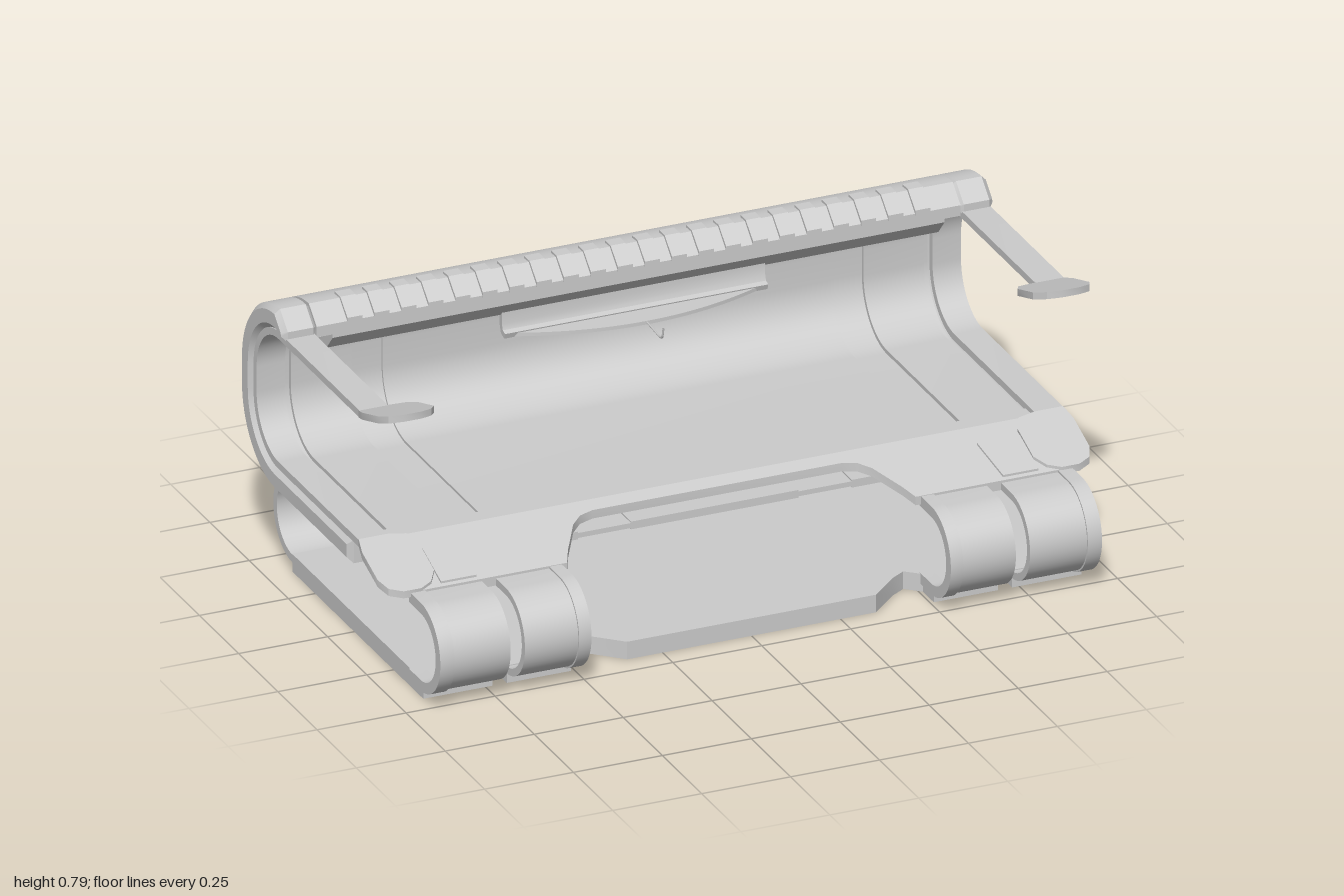
import * as THREE from 'three';
import { toCreasedNormals } from 'three/addons/utils/BufferGeometryUtils.js';

const material = new THREE.MeshStandardMaterial({ color: 0xcccccc, side: THREE.DoubleSide });
const V = (x, y) => new THREE.Vector2(x, y);

// Points along an arc, angles in degrees, in the (z, y) plane
function arc(cz, cy, r, a0, a1, n = 16) {
  return Array.from({ length: n + 1 }, (_, i) => {
    const a = THREE.MathUtils.degToRad(a0 + (a1 - a0) * i / n);
    return [cz + r * Math.cos(a), cy + r * Math.sin(a)];
  });
}

// Closed outline of constant thickness around an open centreline
function stroke(path, t) {
  const p = path.map(([a, b]) => V(a, b)), left = [], right = [];
  p.forEach((q, i) => {
    const d0 = q.clone().sub(p[Math.max(i - 1, 0)]).normalize();
    const d1 = p[Math.min(i + 1, p.length - 1)].clone().sub(q).normalize();
    const d = d0.clone().add(d1).normalize();
    const ref = i ? d0 : d1;
    const k = t / 2 / Math.max(d.dot(ref), 0.3);
    left.push([q.x - d.y * k, q.y + d.x * k]);
    right.unshift([q.x + d.y * k, q.y - d.x * k]);
  });
  return [...left, ...right];
}

// (z, y) outline swept along x from x0 to x1
function sweep(outline, x0, x1, bevel = 0) {
  const shape = new THREE.Shape(outline.map(([a, b]) => V(a, b)));
  const g = new THREE.ExtrudeGeometry(shape, {
    depth: x1 - x0 - 2 * bevel, bevelEnabled: bevel > 0, bevelThickness: bevel,
    bevelSize: bevel, bevelOffset: -bevel, bevelSegments: 1,
  });
  g.rotateY(-Math.PI / 2).translate(x1 - bevel, 0, 0);
  return toCreasedNormals(g, 0.5);
}

// (x, z) outline raised by h from y0, tilted along z from z0 on
function slab(outline, y0, h, slope = 0, z0 = 0) {
  const shape = new THREE.Shape(outline.map(([x, z]) => V(x, -z)));
  const g = new THREE.ExtrudeGeometry(shape, { depth: h, bevelEnabled: false });
  g.rotateX(-Math.PI / 2).translate(0, y0, 0);
  const p = g.attributes.position;
  for (let i = 0; i < p.count; i++) p.setY(i, p.getY(i) + slope * (p.getZ(i) - z0));
  return toCreasedNormals(g, 0.5);
}

// C-shaped path of the holder: lower run, back, upper run
const cPath = (r, zLow, zHigh) => [
  [zLow, 0.49 - r], ...arc(-0.335, 0.49, r, 270, 180), ...arc(-0.335, 0.56, r, 180, 90), [zHigh, 0.56 + r],
];

export function createModel() {
  const model = new THREE.Group();
  const add = (name, geometry) => {
    const m = new THREE.Mesh(geometry, material);
    m.name = name;
    model.add(m);
    return m;
  };
  const mirrored = outline => [...outline, ...outline.map(([x, z]) => [-x, z]).reverse()];

  // Curved shell with lip
  const outer = [[0.135, 0.265], ...arc(-0.335, 0.49, 0.225, 270, 180), ...arc(-0.335, 0.56, 0.225, 180, 90),
    [-0.285, 0.74], [-0.285, 0.71]];
  const inner = [...arc(-0.335, 0.56, 0.16, 90, 180), ...arc(-0.335, 0.49, 0.16, 180, 270), [0.135, 0.33]];
  add('shell', sweep([...outer, ...inner], -0.905, 0.905));
  add('centrePanel', sweep(stroke([[0.14, 0.333], ...arc(-0.335, 0.49, 0.157, 270, 180),
    ...arc(-0.335, 0.56, 0.157, 180, 150, 6)], 0.008), -0.63, 0.63));

  // Sloping front plate with a notch in the middle
  add('frontSill', sweep([[0.13, 0.31], [0.13, 0.342], [0.18, 0.342], [0.18, 0.31]], -0.905, 0.905));
  add('frontPlate', slab(mirrored([[0.905, 0.178], [0.905, 0.37], [0.49, 0.37], [0.47, 0.33], [0.42, 0.25],
    [0.39, 0.225], [0.35, 0.215]]).filter((_, i, a) => i < a.length), 0.318, 0.024, -0.36, 0.18));

  for (const s of [1, -1]) {
    const span = (a, b) => (s > 0 ? [a, b] : [-b, -a]);
    const flip = pts => pts.map(([x, z]) => [s * x, z]);

    // End caps, straps and inner pads
    add('endCap', sweep([...outer, ...inner], ...span(0.9, 1), 0.014));
    add('strap', sweep(stroke(cPath(0.15, 0.18, 0.18), 0.02), ...span(0.91, 0.99)));
    add('sidePad', sweep(stroke([[0.14, 0.335], ...arc(-0.335, 0.49, 0.155, 270, 180),
      ...arc(-0.335, 0.56, 0.155, 180, 160, 4)], 0.012), ...span(0.72, 0.89)));

    // Paddles at both strap ends
    const paddle = flip([[0.91, 0.175], [0.86, 0.185], [0.842, 0.22], [0.842, 0.32], [0.865, 0.355], [0.9, 0.372],
      [0.95, 0.372], [0.985, 0.355], [1, 0.32], [1, 0.22], [0.99, 0.175]]);
    add('upperPaddle', slab(paddle, 0.7, 0.02, 0.33, 0.18));
    add('lowerPaddle', slab(paddle, 0.33, 0.02, -0.36, 0.18));
    // Small raised tab on the front plate
    add('frontTab', slab(flip([[0.72, 0.24], [0.84, 0.24], [0.84, 0.36], [0.74, 0.36]]), 0.338, 0.01, -0.36, 0.18));

    // Front support loops with hemmed edges
    const front = [[0.36, 0.257], ...arc(0.435, 0.147, 0.11, 90, -90, 24), [0.36, 0.037]];
    add('loopTop', sweep([[0.19, 0.247], [0.19, 0.267], [0.37, 0.267], [0.37, 0.247]], ...span(0.51, 0.925)));
    for (const [a, b] of [[0.51, 0.69], [0.73, 0.925]]) add('frontLoop', sweep(stroke(front, 0.02), ...span(a, b)));
    for (const [a, b] of [[0.505, 0.54], [0.89, 0.93]]) add('loopHem', sweep(stroke(front, 0.03), ...span(a, b)));
  }

  // Rear support loop, with two slimmer bands
  const rear = [[0.2, 0.257], ...arc(-0.395, 0.147, 0.11, 90, 270, 24), [0.2, 0.037]];
  const xs = [-0.925, -0.385, -0.235, 0.235, 0.385, 0.925];
  for (let i = 0; i < 5; i++) add('rearLoop', sweep(stroke(rear, i % 2 ? 0.014 : 0.022), xs[i], xs[i + 1]));

  // Base plate
  add('basePlate', slab(mirrored([[0.925, -0.395], [0.925, 0.44], [0.73, 0.44], [0.73, 0.41], [0.69, 0.41],
    [0.69, 0.44], [0.51, 0.44], [0.51, 0.37], [0.47, 0.335], [0.43, 0.36], [0.35, 0.435]]), 0, 0.05));

  // Grip ribs on the lip
  const rib = [[-0.365, 0.775], [-0.365, 0.79], [-0.33, 0.79], [-0.283, 0.75], [-0.283, 0.735], [-0.33, 0.775]];
  for (let i = 0; i < 22; i++) {
    const x = -0.798 + i * 0.076;
    add('gripRib', sweep(rib, x - 0.021, x + 0.021));
  }

  // Bar, visor and hook under the lip
  add('lipBar', sweep([[-0.285, 0.715], [-0.285, 0.7], [-0.325, 0.655], [-0.345, 0.66], [-0.365, 0.7],
    [-0.365, 0.715]], -0.86, 0.86));
  add('visorStem', sweep(stroke([[-0.325, 0.665], [-0.325, 0.63], [-0.318, 0.61], [-0.3, 0.604]], 0.016),
    -0.37, 0.37));
  const edge = new THREE.QuadraticBezierCurve(V(0.36, -0.31), V(0, -0.15), V(-0.36, -0.31));
  add('visor', slab(edge.getPoints(24).map(p => [p.x, p.y]), 0.598, 0.01));
  const hook = new THREE.CatmullRomCurve3([[0.604, -0.24], [0.601, -0.19], [0.598, -0.15], [0.603, -0.135],
    [0.63, -0.127]].map(([y, z]) => new THREE.Vector3(0, y, z)));
  add('hook', new THREE.TubeGeometry(hook, 20, 0.003, 6));

  return model;
}
